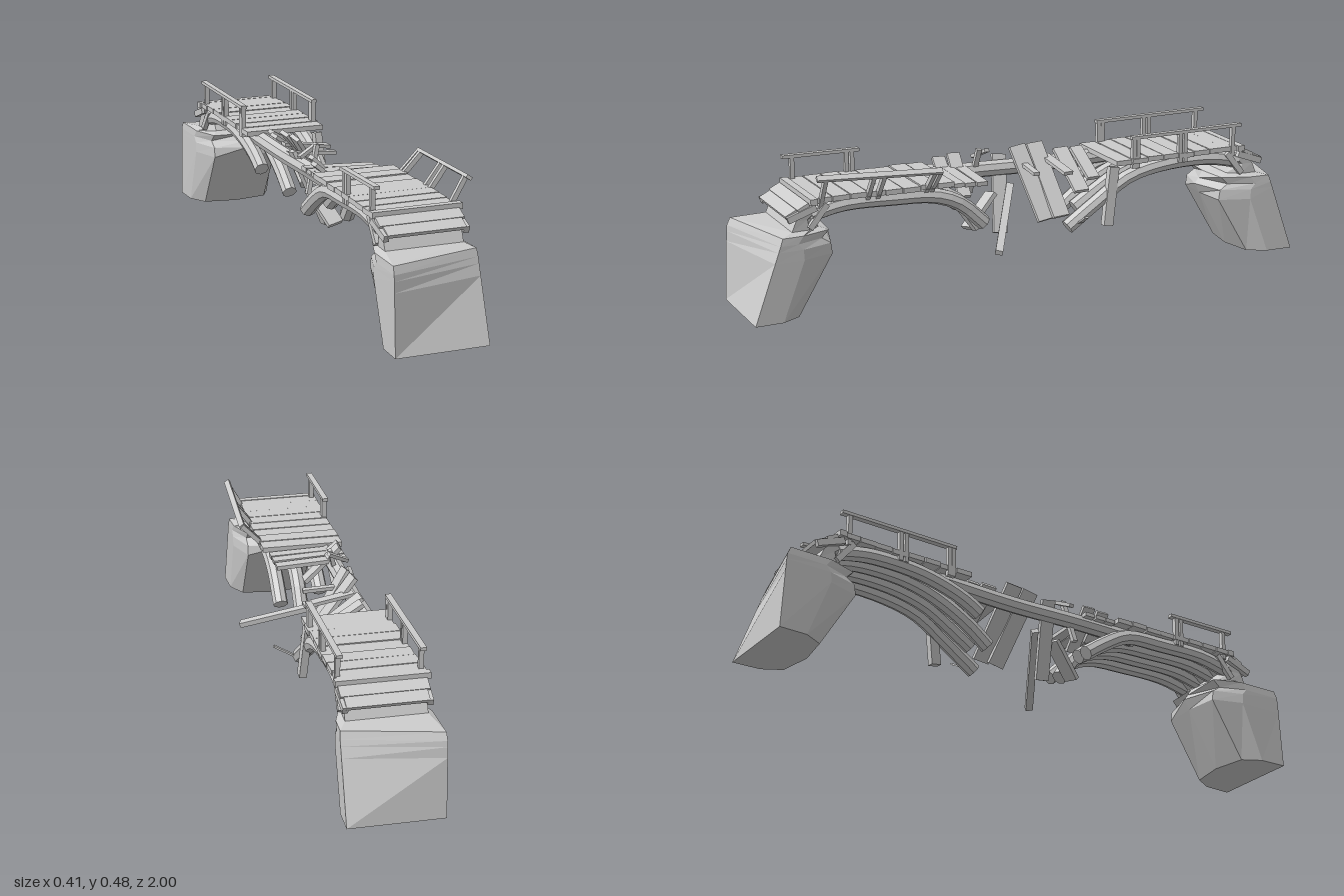
import * as THREE from 'three';

const wood = new THREE.MeshStandardMaterial({ color: 0xcccccc, flatShading: true });
const V = (p) => new THREE.Vector3(...p);

// Small seeded jitter, -1..1
let seed = 7;
const jitter = () => {
  seed = (seed * 16807) % 2147483647;
  return (seed / 2147483647) * 2 - 1;
};

function add(parent, name, geometry) {
  const mesh = new THREE.Mesh(geometry, wood);
  mesh.name = name;
  parent.add(mesh);
  return mesh;
}

// Board from a to b; its width lies as near as possible to the given axis
function board(parent, name, a, b, width, thick, axis = [0, 0, 1]) {
  const start = V(a), end = V(b);
  const x = end.clone().sub(start);
  const mesh = add(parent, name, new THREE.BoxGeometry(x.length(), thick, width));
  x.normalize();
  const y = V(axis).cross(x).normalize();
  const z = x.clone().cross(y);
  mesh.quaternion.setFromRotationMatrix(new THREE.Matrix4().makeBasis(x, y, z));
  mesh.position.copy(start.add(end).multiplyScalar(0.5));
  return mesh;
}

// Eight-sided log swept along a curve, with capped ends
function log(parent, name, points, radius) {
  const section = new THREE.Shape();
  for (let i = 0; i < 8; i++) {
    const a = (i / 8) * Math.PI * 2;
    section[i ? 'lineTo' : 'moveTo'](Math.cos(a) * radius, Math.sin(a) * radius);
  }
  section.closePath();
  const extrudePath = new THREE.CatmullRomCurve3(points.map(V));
  return add(parent, name, new THREE.ExtrudeGeometry(section, { steps: 16, bevelEnabled: false, extrudePath }));
}

// Rocky abutment: rings of [y, halfWidth, outer z, inner z, inner bulge].
// The outer corner on the leaning side slopes back towards the top.
function abutment(parent, leanSide) {
  const rings = [
    [0, 0.156, 1.0, 0.84, 0.02],
    [0.2, 0.156, 0.99, 0.72, 0.01],
    [0.235, 0.156, 0.988, 0.725, 0.035],
    [0.255, 0.156, 0.986, 0.755, 0.05],
    [0.28, 0.154, 0.975, 0.73, 0.01],
    [0.29, 0.13, 0.86, 0.76, 0.0],
    [0.325, 0.13, 0.845, 0.78, 0.0],
    [0.36, 0.13, 0.81, 0.73, 0.01],
  ];
  const pos = [], idx = [], n = 7;
  for (const [y, w, out, inn, bulge] of rings) {
    const mid = inn + (out - inn) * 0.4;
    const corner = (s) => [s * w, s === leanSide ? Math.min(out, 1 - y * 0.36) : out];
    const loop = [corner(-1), corner(1), [w * 0.98, mid], [w * 0.75, inn], [0, inn - bulge], [-w * 0.75, inn], [-w * 0.98, mid]];
    for (const [x, z] of loop) pos.push(x, y, z);
  }
  for (let r = 0; r < rings.length - 1; r++) {
    for (let i = 0; i < n; i++) {
      const a = r * n + i, b = r * n + ((i + 1) % n);
      idx.push(a, b, b + n, a, b + n, a + n);
    }
  }
  const top = (rings.length - 1) * n;
  for (let i = 1; i < n - 1; i++) idx.push(0, i + 1, i, top, top + i, top + i + 1);
  const geometry = new THREE.BufferGeometry();
  geometry.setAttribute('position', new THREE.Float32BufferAttribute(pos, 3));
  geometry.setIndex(idx);
  geometry.computeVertexNormals();
  add(parent, 'abutment', geometry);
}

// Hand rail on one edge from z0 to z1, its outward tilt changing along the way
function railing(parent, side, z0, z1, posts, tilt0 = 0, tilt1 = 0) {
  const rail = new THREE.Group();
  rail.name = 'railing';
  const at = (z, h) => {
    const tilt = tilt0 + (tilt1 - tilt0) * ((z - z0) / (z1 - z0));
    const length = h * (1 + tilt * 0.25);
    return [side * (0.131 + Math.sin(tilt) * length), 0.38 + Math.cos(tilt) * length, z];
  };
  for (const z of posts) board(rail, 'railPost', at(z, -0.02), at(z, 0.088), 0.014, 0.016);
  const slope = (tilt0 + tilt1) / 2;
  board(rail, 'handRail', at(z0, 0.09), at(z1, 0.087), 0.02, 0.011, [Math.cos(slope), -side * Math.sin(slope), 0]);
  parent.add(rail);
}

// One surviving end of the bridge, with local +z pointing to the bank
function bridgeEnd(name, leanSide, beamEnds) {
  const end = new THREE.Group();
  end.name = name;
  end.position.x = -0.047;
  abutment(end, leanSide);

  // Deck planks
  const count = 8, z0 = 0.785, z1 = 0.3, pitch = (z0 - z1) / count;
  for (let i = 0; i < count; i++) {
    const z = z0 - (i + 0.5) * pitch, dx = jitter() * 0.005;
    const plank = board(end, 'deckPlank', [-0.141 + dx, 0.386, z], [0.141 + dx, 0.386, z], pitch - 0.0025, 0.017);
    plank.rotation.y += jitter() * 0.009;
    plank.position.y += jitter() * 0.002;
  }
  board(end, 'endPlank', [-0.147, 0.386, 0.79], [0.153, 0.386, 0.79], 0.025, 0.02);

  // Sloping entry planks on their side beams
  [[0.822, 0.368, 0.14], [0.86, 0.348, 0.13]].forEach(([z, y, w]) => {
    board(end, 'rampPlank', [-w, y, z], [w, y, z], 0.042, 0.012, [0, -0.5, 1]);
  });
  for (const s of [-1, 1]) {
    board(end, 'rampBeam', [s * 0.136, 0.366, 0.78], [s * 0.132, 0.332, 0.875], 0.018, 0.022, [1, 0, 0]);
    board(end, 'sideBrace', [s * 0.128, 0.37, 0.74], [s * 0.13, 0.295, 0.8], 0.016, 0.02, [1, 0, 0]);
  }

  // Bent support logs sagging towards the gap
  beamEnds.forEach((tail, i) => {
    const x = -0.108 + i * 0.072;
    log(end, 'supportLog', [[x, 0.335, 0.79], [x, 0.357, 0.68], [x, 0.355, 0.5], ...tail.map(([y, z]) => [x, y, z])], 0.026);
  });
  return end;
}

export function createModel() {
  const bridge = new THREE.Group();
  bridge.name = 'brokenBridge';

  const front = bridgeEnd('frontEnd', 1, [
    [[0.345, 0.35], [0.29, 0.25], [0.24, 0.18]],
    [[0.345, 0.36], [0.31, 0.27], [0.26, 0.2]],
    [[0.345, 0.36], [0.3, 0.25], [0.2, 0.17]],
    [[0.345, 0.36], [0.31, 0.27], [0.23, 0.18]],
  ]);
  railing(front, -1, 0.8, 0.53, [0.765, 0.575, 0.555]);
  railing(front, 1, 0.79, 0.37, [0.76, 0.6, 0.565, 0.395, 0.375], 0.5, 0.78);
  // Narrower loose planks at the broken edge
  [0.275, 0.235, 0.19].forEach((z, i) => {
    board(front, 'loosePlank', [-0.125, 0.38, z], [0.125 - i * 0.002, 0.374 - i * 0.003, z], 0.038, 0.014);
  });
  bridge.add(front);

  const back = bridgeEnd('backEnd', -1, [
    [[0.325, 0.36], [0.25, 0.24], [0.175, 0.13]],
    [[0.325, 0.37], [0.27, 0.27], [0.22, 0.19]],
    [[0.325, 0.38], [0.26, 0.25], [0.2, 0.17]],
    [[0.33, 0.38], [0.3, 0.3], [0.27, 0.25]],
  ]);
  back.rotation.y = Math.PI;
  for (const s of [-1, 1]) railing(back, s, 0.79, 0.36, [0.76, 0.57, 0.55, 0.385, 0.37]);
  bridge.add(back);

  // Surviving log that still spans the gap
  log(bridge, 'spanLog', [[-0.13, 0.36, 0.4], [-0.13, 0.36, 0.15], [-0.128, 0.355, -0.1], [-0.13, 0.36, -0.4]], 0.028);

  // Broken planks hanging off the span log: [top, bottom, width, thickness]
  const hanging = [
    [[-0.12, 0.43, -0.025], [0.03, 0.2, -0.065], 0.06, 0.014],
    [[-0.13, 0.43, -0.095], [0.045, 0.21, -0.115], 0.06, 0.014],
    [[-0.15, 0.4, 0.03], [-0.05, 0.15, 0.07], 0.05, 0.014],
    [[-0.13, 0.4, -0.195], [0.03, 0.285, -0.2], 0.055, 0.013],
    [[-0.12, 0.4, -0.25], [0.01, 0.32, -0.255], 0.045, 0.014],
    [[0.07, 0.37, -0.3], [0.085, 0.17, -0.27], 0.035, 0.025],
    [[-0.15, 0.42, 0.2], [-0.03, 0.3, 0.21], 0.045, 0.014],
    [[-0.16, 0.41, 0.25], [-0.07, 0.33, 0.255], 0.045, 0.014],
    [[-0.1, 0.44, 0.125], [-0.14, 0.28, 0.145], 0.018, 0.014],
    [[-0.16, 0.4, 0.12], [-0.09, 0.435, 0.1], 0.02, 0.012],
  ];
  for (const [a, b, w, t] of hanging) board(bridge, 'hangingPlank', a, b, w, t);

  // Fallen pieces sticking out sideways and along the gap
  board(bridge, 'fallenPlank', [-0.1, 0.3, 0.01], [0.2, 0.165, 0.19], 0.025, 0.018);
  board(bridge, 'fallenPlank', [-0.1, 0.28, 0.08], [-0.06, 0.18, 0.19], 0.055, 0.016, [1, 0, 0]);
  board(bridge, 'splinter', [0.09, 0.195, -0.165], [0.155, 0.23, -0.155], 0.016, 0.006);
  board(bridge, 'splinter', [-0.14, 0.375, -0.04], [0.03, 0.365, -0.03], 0.022, 0.012);
  board(bridge, 'splinter', [-0.12, 0.385, -0.13], [0.05, 0.36, -0.14], 0.035, 0.012);

  return bridge;
}
